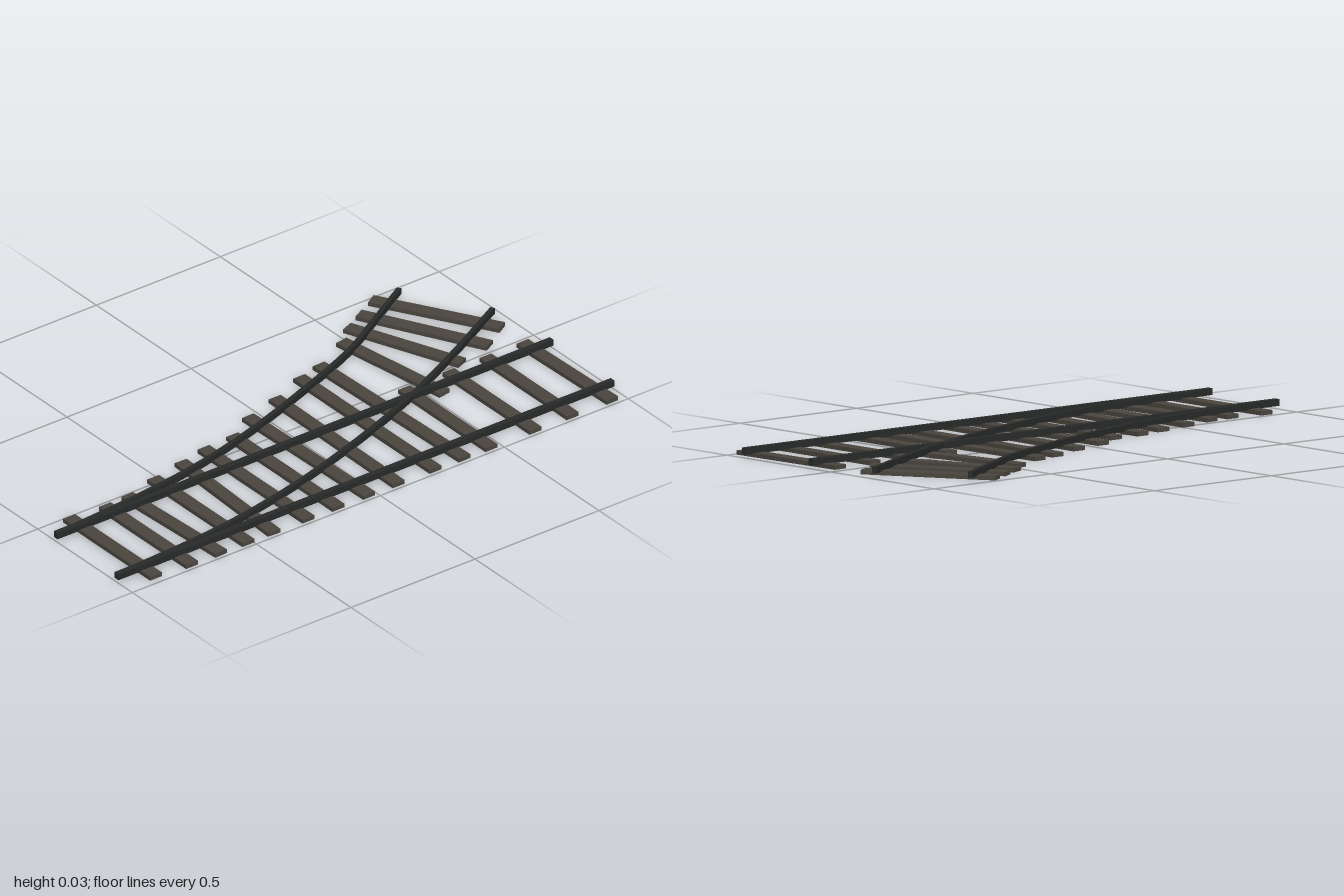
import * as THREE from 'three';

const TIE_H = 0.014, TIE_W = 0.048, RAIL_BASE = 0.011, RAIL_TOP = 0.033;

export function createModel() {
  const group = new THREE.Group();
  const wood = new THREE.MeshStandardMaterial({ color: 0x4b463f });
  wood.name = 'weathered wood';
  const steel = new THREE.MeshStandardMaterial({ color: 0x292b2b });
  steel.name = 'dark steel';

  // A tie is a flat beam between the middles of its two ends.
  function addTie(name, x0, z0, x1, z1) {
    const dx = x1 - x0, dz = z1 - z0;
    const tie = new THREE.Mesh(new THREE.BoxGeometry(Math.hypot(dx, dz), TIE_H, TIE_W), wood);
    tie.position.set((x0 + x1) / 2, TIE_H / 2, (z0 + z1) / 2);
    tie.rotation.y = -Math.atan2(dz, dx);
    tie.name = name;
    group.add(tie);
  }

  // Ties under the straight track: left end x, z there, z at the right end.
  const RIGHT = 0.488;
  [
    [0.027, -0.934, -0.945], [0.027, -0.785, -0.785], [0.027, -0.635, -0.635],
    [0.027, -0.457, -0.457], [-0.257, -0.329, -0.349], [-0.233, -0.232, -0.232],
    [-0.177, -0.091, -0.083], [-0.137, 0.048, 0.036], [-0.073, 0.16, 0.16],
    [-0.066, 0.281, 0.281], [-0.042, 0.391, 0.419], [-0.015, 0.523, 0.523],
    [0.02, 0.655, 0.633], [0.027, 0.75, 0.75],
  ].forEach(([x, z0, z1]) => addTie('mainTie', x, z0, RIGHT, z1));
  addTie('mainTie', 0.017, 0.886, 0.476, 0.886);

  // Ties fanning out under the diverging track.
  [
    [-0.48, -0.71, -0.09, -0.942], [-0.432, -0.624, -0.025, -0.842],
    [-0.39, -0.545, 0.008, -0.705], [-0.33, -0.476, 0.125, -0.545],
  ].forEach((t) => addTie('branchTie', ...t));

  // Straight rails.
  for (const x of [0.095, 0.417]) {
    const rail = new THREE.Mesh(new THREE.BoxGeometry(0.02, RAIL_TOP - RAIL_BASE, 2), steel);
    rail.position.set(x, (RAIL_TOP + RAIL_BASE) / 2, 0);
    rail.name = 'straightRail';
    group.add(rail);
  }

  // Curved rails: a plan outline offset from the centre line, extruded upwards.
  function addCurvedRail(name, path) {
    const curve = new THREE.SplineCurve(path.map(([x, z]) => new THREE.Vector2(x, -z)));
    const near = [], far = [], n = 28;
    for (let i = 0; i <= n; i++) {
      const p = curve.getPoint(i / n), t = curve.getTangent(i / n);
      const side = new THREE.Vector2(-t.y, t.x).multiplyScalar(0.008);
      near.push(p.clone().add(side));
      far.unshift(p.clone().sub(side));
    }
    const geo = new THREE.ExtrudeGeometry(new THREE.Shape([...near, ...far]),
      { depth: RAIL_TOP - RAIL_BASE - 0.001, bevelEnabled: false });
    geo.rotateX(-Math.PI / 2);
    const rail = new THREE.Mesh(geo, steel);
    rail.position.y = RAIL_BASE;
    rail.name = name;
    group.add(rail);
  }
  addCurvedRail('outerCurvedRail', [[0.095, 0.98], [0.075, 0.72], [0.036, 0.42],
    [-0.035, 0.13], [-0.143, -0.185], [-0.245, -0.44], [-0.35, -0.625], [-0.455, -0.805]]);
  addCurvedRail('innerCurvedRail', [[0.415, 0.98], [0.397, 0.68], [0.362, 0.42],
    [0.295, 0.13], [0.185, -0.21], [0.08, -0.47], [-0.045, -0.725], [-0.175, -0.968]]);

  return group;
}
